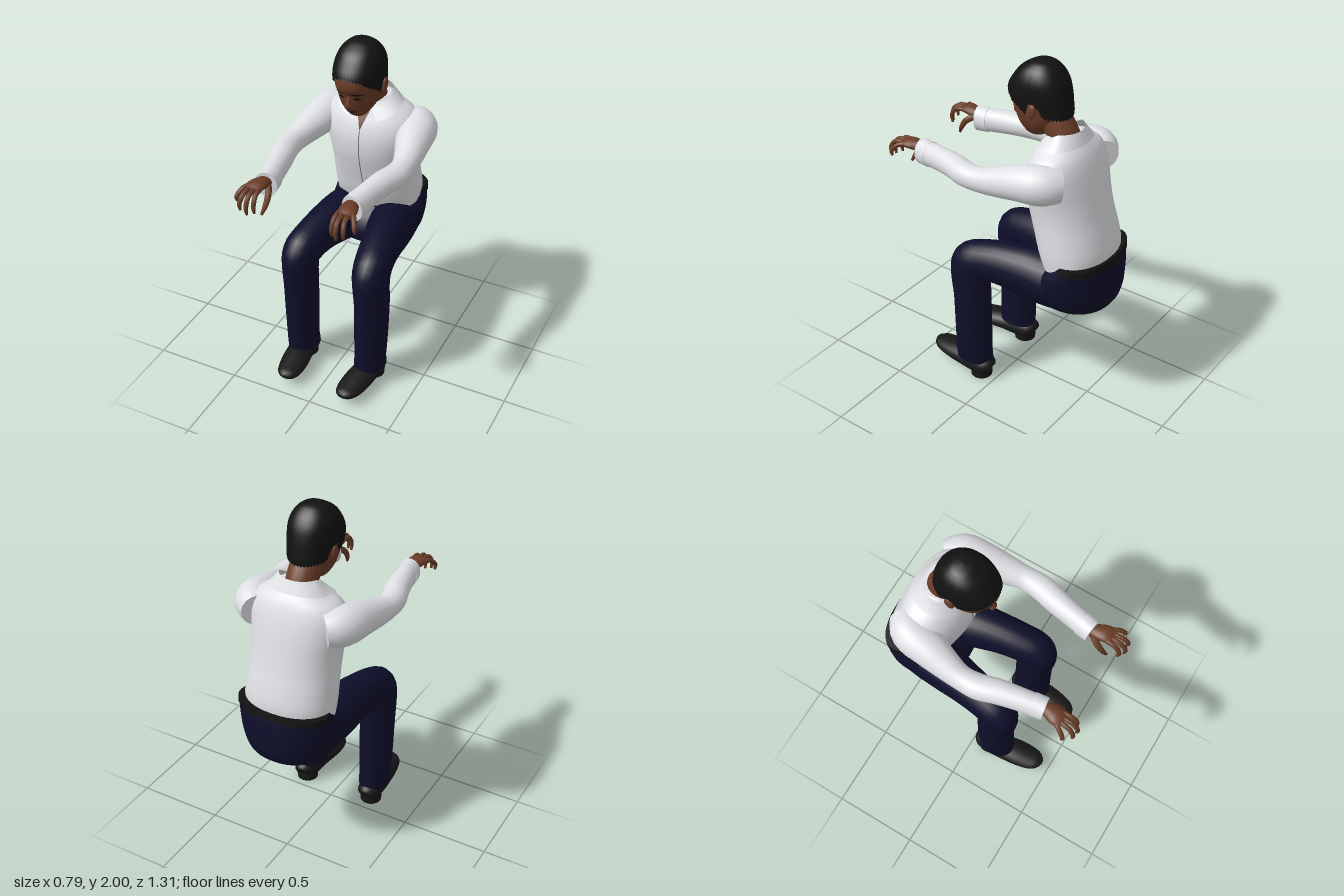
import * as THREE from 'three';

const mat = (name, color, side = THREE.FrontSide) => {
  const m = new THREE.MeshStandardMaterial({ color, side });
  m.name = name;
  return m;
};

// Smooth resampling of rows of numbers (Catmull-Rom in every column)
function smooth(pts, steps = 4) {
  const out = [];
  const at = i => pts[Math.min(Math.max(i, 0), pts.length - 1)];
  for (let i = 0; i < pts.length - 1; i++)
    for (let k = 0; k < steps; k++) {
      const t = k / steps;
      out.push(pts[i].map((b, c) => {
        const a = at(i - 1)[c], d = at(i + 1)[c], e = at(i + 2)[c];
        return b + 0.5 * t * (d - a + t * (2 * a - 5 * b + 4 * d - e + t * (3 * (b - d) + e - a)));
      }));
    }
  out.push(pts[pts.length - 1]);
  return out;
}

// Surface through rows of points, optionally wrapped around and capped
function surface(rows, wrap = true, caps = wrap) {
  const n = rows[0].length, pos = rows.flat().flatMap(p => [p.x, p.y, p.z]), idx = [];
  for (let i = 0; i < rows.length - 1; i++)
    for (let j = 0; j < (wrap ? n : n - 1); j++) {
      const k = (j + 1) % n, a = i * n + j, b = i * n + k;
      idx.push(a, b, b + n, a, b + n, a + n);
    }
  if (caps) [0, rows.length - 1].forEach(r => {
    const c = rows[r].reduce((s, p) => s.add(p), new THREE.Vector3()).divideScalar(n);
    const base = pos.length / 3;
    rows[r].forEach(p => pos.push(p.x, p.y, p.z));
    pos.push(c.x, c.y, c.z);
    for (let j = 0; j < n; j++) {
      const k = (j + 1) % n;
      idx.push(base + n, base + (r ? j : k), base + (r ? k : j));
    }
  });
  const g = new THREE.BufferGeometry();
  g.setAttribute('position', new THREE.Float32BufferAttribute(pos, 3));
  g.setIndex(idx);
  g.computeVertexNormals();
  return g;
}

// Tube with oval sections: [x, y, z, half width, half depth]
function limb(points, side = 1, seg = 20, steps = 4) {
  const s = smooth(points.map(([x, ...r]) => [x * side, ...r]), steps);
  const c = s.map(p => new THREE.Vector3(p[0], p[1], p[2]));
  return surface(s.map((p, i) => {
    const t = c[Math.min(i + 1, c.length - 1)].clone().sub(c[Math.max(i - 1, 0)]).normalize();
    const u = new THREE.Vector3(1, 0, 0).addScaledVector(t, -t.x).normalize();
    const v = t.clone().cross(u);
    return Array.from({ length: seg }, (_, j) => {
      const a = j / seg * Math.PI * 2;
      return c[i].clone().addScaledVector(u, Math.cos(a) * p[3]).addScaledVector(v, Math.sin(a) * p[4]);
    });
  }));
}

// Upright bodies from level sections: [y, front z, back z, half width]
const POW = 0.9;
const bend = v => Math.sign(v) * Math.abs(v) ** POW;
function section(prof, y) {
  let i = 0;
  while (i < prof.length - 2 && prof[i + 1][0] < y) i++;
  const [a, b] = [prof[i], prof[i + 1]];
  const t = THREE.MathUtils.clamp((y - a[0]) / (b[0] - a[0]), 0, 1);
  const [f, k, rx] = [1, 2, 3].map(c => a[c] + (b[c] - a[c]) * t);
  return { zc: (f + k) / 2, rz: (f - k) / 2, rx };
}
function onBody(prof, y, a, off = 0) {
  const { zc, rz, rx } = section(prof, y);
  return new THREE.Vector3((rx + off) * bend(Math.cos(a)), y, zc - (rz + off) * bend(Math.sin(a)));
}
const body = (prof, seg = 40) => surface(prof.map(r =>
  Array.from({ length: seg }, (_, j) => onBody(prof, r[0], j / seg * Math.PI * 2))));

// Thin patch lying on the front of a body; edge(v) gives [left x, right x, y]
function drape(prof, edge, off = 0.004, nu = 6, nv = 12) {
  const rows = [];
  for (let i = 0; i <= nv; i++) {
    const [l, r, y] = edge(i / nv), { zc, rz, rx } = section(prof, y);
    rows.push(Array.from({ length: nu + 1 }, (_, j) => {
      const x = l + (r - l) * j / nu, q = Math.min(Math.abs(x / rx), 1) ** (2 / POW);
      return new THREE.Vector3(x, y, zc + rz * (1 - q) ** (POW / 2) + off);
    }));
  }
  return surface(rows, false);
}
const oval = (x, y, w, h) => v => {
  const s = Math.sin(v * Math.PI) * w;
  return [x - s, x + s, y - Math.cos(v * Math.PI) * h];
};

export function createModel() {
  const root = new THREE.Group();
  root.name = 'seatedFigure';
  const shirt = mat('shirt white', 0xdfe0e4, THREE.DoubleSide), navy = mat('trouser navy', 0x0e0e2a);
  const skin = mat('skin brown', 0x6a3d27), black = mat('hair black', 0x121212, THREE.DoubleSide);
  const shoe = mat('shoe black', 0x171717), lip = mat('lip brown', 0x4c2820), seam = mat('seam grey', 0x77787d);
  const add = (name, geo, m, parent = root) => {
    const mesh = new THREE.Mesh(geo, m);
    mesh.name = name;
    parent.add(mesh);
    return mesh;
  };

  // Shirt body
  const torso = smooth([[0.89, -0.27, -0.6, 0.25], [1.0, -0.22, -0.61, 0.255], [1.1, -0.19, -0.59, 0.25],
    [1.2, -0.16, -0.56, 0.245], [1.3, -0.135, -0.535, 0.25], [1.4, -0.13, -0.51, 0.265], [1.48, -0.15, -0.485, 0.268],
    [1.54, -0.18, -0.46, 0.235], [1.58, -0.2, -0.435, 0.175], [1.625, -0.225, -0.4, 0.1]]);
  add('shirtBody', body(torso), shirt);
  add('openNeck', drape(torso, v => [-0.055 * v, 0.055 * v, 1.46 + 0.16 * v], 0.005), skin);
  add('placket', drape(torso, v => [-0.003, 0.003, 0.92 + 0.54 * v], 0.004, 1, 30), seam);

  // Folded collar, open at the front
  const collar = [0, 0.5, 1].map(v => Array.from({ length: 41 }, (_, j) => {
    const f = 0.3 + (Math.PI * 2 - 0.6) * j / 40, a = f - Math.PI / 2;
    const back = (1 - Math.cos(f)) / 2, tip = Math.max(0, 1 - Math.min(f, Math.PI * 2 - f) / 1.1);
    const low = onBody(torso, 1.575 + 0.025 * back - 0.07 * tip, a, 0.012);
    const high = new THREE.Vector3(0.115 * Math.cos(a), 1.585 + 0.08 * Math.min(1, back * 1.5), -0.3 - 0.1 * Math.sin(a));
    return low.lerp(high, v);
  }));
  add('collar', surface(collar, false), shirt);

  // Trouser seat and belt
  const seat = smooth([[0.64, -0.35, -0.56, 0.12], [0.68, -0.2, -0.62, 0.22], [0.75, -0.16, -0.643, 0.262],
    [0.85, -0.2, -0.643, 0.278], [0.93, -0.3, -0.633, 0.27], [0.975, -0.36, -0.622, 0.262]]);
  add('trouserSeat', body(seat), navy);
  add('belt', body([[0.945, -0.33, -0.633, 0.27], [0.982, -0.37, -0.625, 0.264]]), black);
  add('buckleBelt', drape(torso, v => [-0.07, 0.07, 0.885 + 0.03 * v], 0.006), black);

  // Neck and head
  add('neck', limb([[0, 1.5, -0.32, 0.09, 0.085], [0, 1.6, -0.3, 0.086, 0.084], [0, 1.72, -0.22, 0.085, 0.085]]), skin);
  const head = smooth([[1.575, -0.1, -0.15, 0.025], [1.59, -0.072, -0.19, 0.05], [1.635, -0.038, -0.25, 0.083],
    [1.68, -0.02, -0.285, 0.104], [1.73, -0.004, -0.31, 0.115], [1.78, 0.022, -0.315, 0.12], [1.84, 0.018, -0.3, 0.123],
    [1.9, -0.02, -0.28, 0.11], [1.96, -0.09, -0.23, 0.06]]);
  add('head', body(head), skin);
  add('nose', limb([[0, 1.735, -0.006, 0.008, 0.008], [0, 1.7, 0, 0.014, 0.014],
    [0, 1.677, -0.001, 0.024, 0.016], [0, 1.663, -0.016, 0.015, 0.01]], 1, 14), skin);
  add('upperLip', drape(head, oval(0, 1.639, 0.034, 0.007), 0.007), lip);
  add('lowerLip', drape(head, oval(0, 1.626, 0.029, 0.008), 0.007), lip);
  for (const s of [-1, 1]) {
    add('eye', drape(head, oval(s * 0.046, 1.724, 0.02, 0.007), 0.004), black);
    add('eyebrow', drape(head, oval(s * 0.05, 1.754, 0.029, 0.005), 0.004), black);
    const ear = add('ear', new THREE.SphereGeometry(1, 16, 12), skin);
    ear.scale.set(0.014, 0.042, 0.027);
    ear.position.set(s * 0.128, 1.755, -0.178);
    ear.rotation.x = -0.2;
  }

  // Short hair with a ragged hairline
  const cap = smooth([[1.69, 0, -0.325, 0.115], [1.73, 0.012, -0.334, 0.123], [1.78, 0.032, -0.328, 0.129],
    [1.84, 0.029, -0.318, 0.133], [1.9, -0.005, -0.3, 0.127], [1.95, -0.045, -0.268, 0.104],
    [1.985, -0.1, -0.228, 0.066], [1.996, -0.135, -0.2, 0.034], [2, -0.17, -0.171, 0.001]]);
  const line = [[0, 1.835], [0.5, 1.825], [0.9, 1.79], [1.25, 1.755], [1.42, 1.725], [1.52, 1.73],
    [1.6, 1.79], [1.85, 1.78], [2, 1.72], [3.15, 1.705]];
  const hairline = f => {
    const i = line.findIndex(p => p[0] > f), [a, b] = [line[i - 1], line[i]];
    return a[1] + (b[1] - a[1]) * (f - a[0]) / (b[0] - a[0]);
  };
  const hair = Array.from({ length: 25 }, (_, i) => Array.from({ length: 96 }, (_, j) => {
    const a = j / 96 * Math.PI * 2;
    const low = hairline(Math.acos(THREE.MathUtils.clamp(-Math.sin(a), -1, 1))) + (j % 2) * 0.012;
    return onBody(cap, low + (2 - low) * Math.sin(i / 24 * Math.PI / 2), a);
  }));
  add('hair', surface(hair, true, false), black);

  for (const s of [1, -1]) {
    const side = s > 0 ? 'left' : 'right';
    const leg = new THREE.Group(), arm = new THREE.Group();
    leg.name = side + 'Leg';
    arm.name = side + 'Arm';
    root.add(leg, arm);

    // Trouser leg, bent at the knee
    add('trouserLeg', limb([[0.12, 0.8, -0.5, 0.13, 0.14], [0.135, 0.795, -0.35, 0.14, 0.152], [0.16, 0.808, -0.2, 0.13, 0.15],
      [0.185, 0.815, -0.05, 0.115, 0.13], [0.205, 0.8, 0.08, 0.108, 0.118], [0.218, 0.765, 0.15, 0.105, 0.122],
      [0.222, 0.68, 0.162, 0.1, 0.12], [0.224, 0.55, 0.152, 0.098, 0.113], [0.222, 0.35, 0.15, 0.094, 0.113],
      [0.22, 0.2, 0.15, 0.088, 0.114], [0.215, 0.11, 0.15, 0.086, 0.116]], s, 24), navy, leg);
    // Shoe and heel
    add('shoe', limb([[0.22, 0.06, 0.035, 0.04, 0.04], [0.22, 0.07, 0.06, 0.065, 0.062], [0.215, 0.075, 0.15, 0.075, 0.066],
      [0.21, 0.077, 0.22, 0.078, 0.059], [0.2, 0.075, 0.3, 0.08, 0.051], [0.19, 0.074, 0.38, 0.072, 0.038],
      [0.182, 0.077, 0.43, 0.052, 0.027], [0.178, 0.083, 0.456, 0.018, 0.009]], s), shoe, leg);
    add('heel', limb([[0.22, 0, 0.1, 0.062, 0.062], [0.22, 0.05, 0.1, 0.066, 0.064]], s, 20, 1), shoe, leg);

    // Sleeve and cuff, reaching forward
    add('sleeve', limb([[0.2, 1.44, -0.41, 0.085, 0.09], [0.262, 1.446, -0.34, 0.105, 0.105], [0.285, 1.433, -0.22, 0.1, 0.096],
      [0.31, 1.41, -0.1, 0.08, 0.08], [0.325, 1.395, 0, 0.066, 0.068], [0.322, 1.395, 0.1, 0.07, 0.066],
      [0.295, 1.4, 0.2, 0.068, 0.066], [0.27, 1.395, 0.32, 0.062, 0.068], [0.25, 1.387, 0.43, 0.06, 0.071]], s, 24), shirt, arm);
    add('cuff', limb([[0.257, 1.389, 0.385, 0.064, 0.073], [0.246, 1.386, 0.455, 0.061, 0.074]], s, 24, 1), shirt, arm);

    // Hand with curled fingers
    add('palm', limb([[0.25, 1.4, 0.44, 0.035, 0.032], [0.25, 1.413, 0.48, 0.042, 0.03],
      [0.26, 1.42, 0.53, 0.05, 0.026], [0.264, 1.413, 0.57, 0.043, 0.018]], s, 16), skin, arm);
    [[0.225, 0.22, 0.63, 1.32], [0.25, 0.252, 0.65, 1.315], [0.276, 0.292, 0.645, 1.33], [0.298, 0.332, 0.605, 1.35]]
      .forEach(([bx, tx, z, y]) => add('finger', limb([[bx, 1.42, 0.545, 0.013, 0.014], [(bx + tx) / 2, 1.412, z - 0.03, 0.013, 0.013],
        [tx, (y + 1.41) / 2, z, 0.012, 0.012], [tx, y, z - 0.005, 0.007, 0.007]], s, 10), skin, arm));
    add('thumb', limb([[0.228, 1.4, 0.465, 0.02, 0.02], [0.202, 1.37, 0.51, 0.017, 0.018],
      [0.202, 1.32, 0.545, 0.014, 0.014], [0.214, 1.277, 0.567, 0.007, 0.007]], s, 10), skin, arm);
  }
  return root;
}
